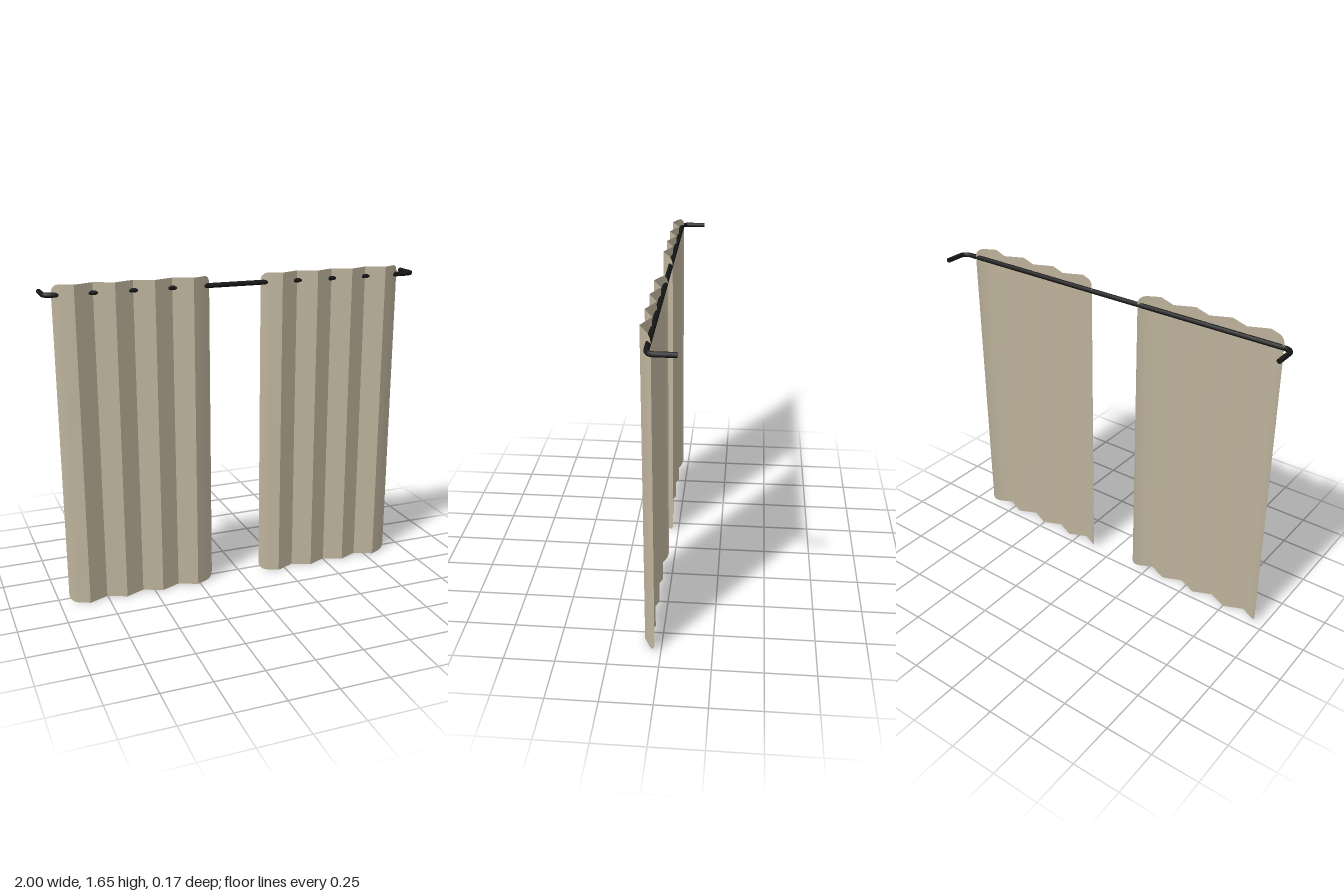
import * as THREE from 'three';
import { toCreasedNormals } from 'three/addons/utils/BufferGeometryUtils.js';

const fabric = new THREE.MeshStandardMaterial({ color: 0xc0b59e, side: THREE.DoubleSide });
fabric.name = 'beige fabric';
const metal = new THREE.MeshStandardMaterial({ color: 0x161616 });
metal.name = 'black metal';

const WIDTH = 0.784, HEIGHT = 1.65, FOLDS = 8, CORNER = 0.035;
const ROD_Y = 1.6, ROD_R = 0.0125;

// Height lost to the rounded corner at distance s from the side edge
function cornerInset(s) {
  if (s >= CORNER) return 0;
  return CORNER - Math.sqrt(CORNER ** 2 - (CORNER - s) ** 2);
}

// Pleated sheet: zigzag columns, with the side edges curling back
function curtainGeometry() {
  const step = WIDTH / FOLDS;
  const valley = 0.044, ridge = 0.087;
  const edge = [[0, 0.03], [0.004, 0.034], [0.012, 0.041], [0.022, 0.048], [0.035, 0.056], [0.06, 0.069]];
  const columns = edge.map(([s, z]) => [s, z]);
  for (let i = 1; i < FOLDS; i++) columns.push([i * step, i % 2 ? ridge : valley]);
  for (const [s, z] of [...edge].reverse()) columns.push([WIDTH - s, z]);

  const positions = [], index = [];
  columns.forEach(([x, z], i) => {
    const inset = cornerInset(Math.min(x, WIDTH - x));
    positions.push(x - WIDTH / 2, inset, z, x - WIDTH / 2, HEIGHT - inset, z);
    if (i > 0) {
      const a = 2 * i - 2, b = 2 * i;
      index.push(a, b, b + 1, a, b + 1, a + 1);
    }
  });
  const geometry = new THREE.BufferGeometry();
  geometry.setAttribute('position', new THREE.Float32BufferAttribute(positions, 3));
  geometry.setIndex(index);
  return toCreasedNormals(geometry, 0.5);
}

// Straight rod with both ends bent back to the wall
function rodCurve() {
  const p = (x, z) => new THREE.Vector3(x, ROD_Y, z);
  const path = new THREE.CurvePath();
  path.add(new THREE.LineCurve3(p(-0.987, -0.087), p(-0.987, 0.01)));
  path.add(new THREE.QuadraticBezierCurve3(p(-0.987, 0.01), p(-0.985, 0.042), p(-0.935, 0.042)));
  path.add(new THREE.LineCurve3(p(-0.935, 0.042), p(0.935, 0.042)));
  path.add(new THREE.QuadraticBezierCurve3(p(0.935, 0.042), p(0.985, 0.042), p(0.987, 0.01)));
  path.add(new THREE.LineCurve3(p(0.987, 0.01), p(0.987, -0.087)));
  return path;
}

export function createModel() {
  const group = new THREE.Group();
  group.name = 'curtains';

  const sheet = curtainGeometry();
  for (const [name, x] of [['rightCurtain', -0.557], ['leftCurtain', 0.503]]) {
    const curtain = new THREE.Mesh(sheet, fabric);
    curtain.name = name;
    curtain.position.x = x;
    group.add(curtain);
  }

  const rod = new THREE.Mesh(new THREE.TubeGeometry(rodCurve(), 160, ROD_R, 10), metal);
  rod.name = 'curtainRod';
  group.add(rod);

  // Caps closing the rod where it meets the wall
  for (const side of [-1, 1]) {
    const cap = new THREE.Mesh(new THREE.CircleGeometry(ROD_R, 10), metal);
    cap.name = side < 0 ? 'rightRodCap' : 'leftRodCap';
    cap.position.set(side * 0.987, ROD_Y, -0.087);
    cap.rotation.y = Math.PI;
    group.add(cap);
  }
  return group;
}
